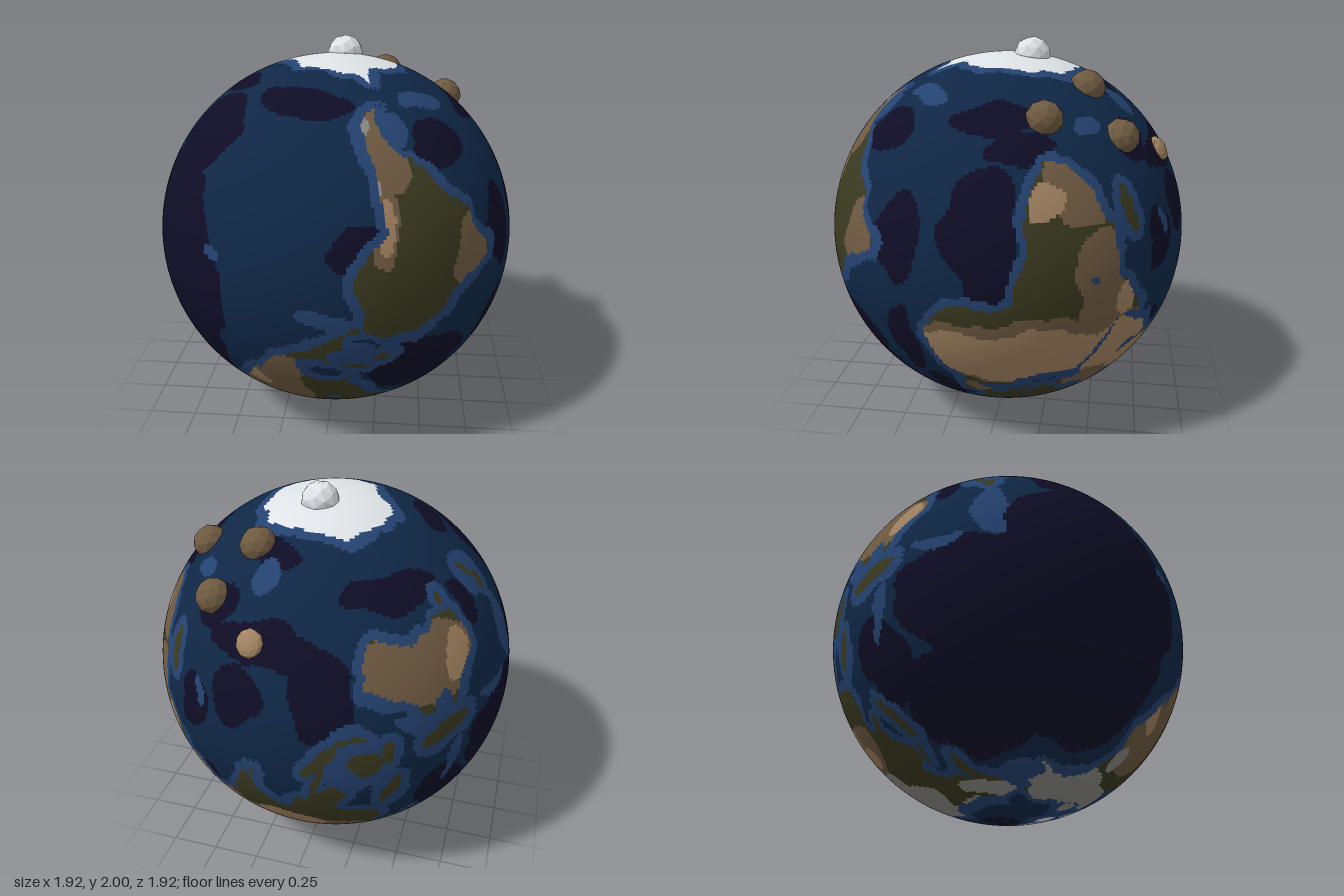
import * as THREE from 'three';

const R = 0.96, COLS = 380, ROWS = 186, RAD = Math.PI / 180;
const paint = (name, color) => Object.assign(new THREE.MeshStandardMaterial({ color }), { name });
const materials = [
  paint('deepOcean', 0x0f0d26), paint('ocean', 0x0f2746), paint('shallowSea', 0x244270),
  paint('forest', 0x3a3920), paint('steppe', 0x6f5a41), paint('desert', 0xa18260),
  paint('bareRock', 0x8a8984), paint('ice', 0xe2e6ea),
];
const [DEEP, OCEAN, SHALLOW, FOREST, STEPPE, DESERT, BARE, ICE] = materials.keys();

// Coast outlines as longitude, latitude pairs
const coasts = {
  northAmerica: [-168, 66, -156, 71, -128, 70, -110, 68, -95, 69, -82, 68, -94, 60, -92, 57, -82, 55, -80, 51, -78, 56, -77, 62,
    -70, 61, -65, 58, -56, 52, -66, 49, -61, 46, -70, 43, -74, 40, -76, 35, -81, 31, -80, 25, -83, 30, -90, 30, -97, 27, -97, 20,
    -91, 18.5, -87, 21, -88, 16, -83, 15, -83, 10, -78, 9, -80, 7.5, -86, 11, -94, 16, -105, 20, -113, 31, -110, 23.5, -117, 33,
    -124, 40, -124, 48, -134, 57, -145, 60, -152, 59, -162, 55, -157, 59, -166, 62, -161, 65],
  greenland: [-45, 60, -53, 66, -55, 70, -70, 77, -60, 82, -30, 83.5, -18, 78, -22, 70, -38, 65],
  southAmerica: [-78, 8, -72, 12, -62, 10.5, -52, 5, -50, 0, -44, -2.5, -35, -6, -35, -9, -39, -14, -41, -22, -48, -26, -53, -33,
    -58, -38, -62, -39, -65, -42, -67, -46, -69, -51, -66, -55, -72, -54, -75, -50, -73, -40, -71.5, -30, -70, -18, -76, -14,
    -81, -6, -80, -2, -77, 3],
  africa: [-6, 36, 10, 37, 11, 33.5, 20, 31, 32, 31, 33, 28, 37, 21, 43, 12, 51, 12, 47, 4, 41, -2, 40, -10, 40, -16, 35, -20,
    35, -25, 32, -29, 27, -33.5, 19, -34.5, 15, -26, 12, -17, 13.5, -9, 9, -1, 9, 4, 4, 6, -7, 4.5, -13, 8.5, -17, 14.5,
    -16, 21, -13, 27.5, -9.5, 31],
  europe: [-9, 37, -9, 43, -2, 43.5, -1, 46, -4.5, 48.5, 2, 51, 8, 54, 8.5, 57, 12, 54, 20, 54.5, 24, 59, 29, 60, 22, 60, 25, 65,
    22, 65.5, 17, 61, 17, 58, 14, 55.5, 11, 59, 6, 58, 5, 62, 14, 68, 25, 71, 40, 67.5, 37, 64, 46, 68, 62, 69, 62, 45, 38, 46,
    31, 46.5, 28, 43, 28, 41, 23.5, 40.5, 23, 37, 19.5, 41, 13.5, 45.5, 12.5, 44, 18.5, 40, 16, 38, 11, 42.5, 9, 44.3, 3, 43,
    0, 39.5, -2, 36.8, -5.5, 36],
  northAsia: [60, 40, 60, 69, 68, 69, 72, 73, 82, 73, 104, 77.5, 113, 73.5, 130, 71.5, 140, 72.5, 160, 70, 180, 69, 190, 66, 179, 62.5,
    170, 60, 163, 57.5, 157, 51, 156, 57, 163, 62, 155, 59.5, 142, 59, 135, 54.5, 141, 52, 140, 48, 132, 43, 128, 39.5, 129, 35.5,
    126.5, 35, 125, 39, 118, 39, 110, 36],
  southAsia: [118, 40, 122, 37, 120, 34, 122, 30, 120, 25, 114, 22, 108, 21.5, 106, 18.5, 109, 13, 105, 9, 100.5, 13, 103.5, 1.5,
    101, 3, 98.5, 9, 97.5, 17, 94, 16, 91, 22.5, 87, 21.5, 80, 15, 80, 11, 77.5, 8, 73, 17, 72.5, 21, 67, 24.5, 57, 26, 51, 28,
    48, 30, 51, 24.5, 54, 24, 56.5, 26, 59.5, 22.5, 55, 17.5, 45, 13, 43, 13, 39, 21, 35, 28, 34.5, 31, 36, 36.5, 27, 37,
    26.5, 40, 31, 41.2, 41, 41.5, 40, 46, 61, 46],
  australia: [114, -22, 122, -18, 129, -15, 131, -11.5, 136, -12, 135.5, -15, 140, -17.5, 142.5, -11, 146, -19, 153, -25, 153, -31,
    150, -37.5, 146, -39, 140, -38, 138, -34, 135, -34.5, 131, -31.5, 124, -33, 118, -35, 115, -34],
};
// South polar cap outline as x, z pairs
const polarCap = [-0.2, 0.05, -0.15, 0.2, 0.03, 0.28, 0.13, 0.29, 0.18, 0.36, 0.18, 0.19, 0.26, 0.15, 0.32, 0.05, 0.33, -0.15, 0.24, -0.31,
  0, -0.39, -0.17, -0.38, -0.28, -0.23, -0.32, -0.08];

// Ovals: longitude, latitude, half width, half height, turn in degrees
const islands = [[46.5, -19, 2.3, 7, -15], [114, 1, 5, 4.5], [101, 0, 2, 8, 42], [110, -7.3, 5, 1], [120.5, -2, 2, 4], [139, -5, 9, 2.8, -20],
  [122, 13, 2, 6.5, 20], [138, 37, 1.7, 8, -45], [143, 43, 2, 1.5], [175, -39, 2, 3.5], [170, -44, 1.5, 4, -40], [-2, 54, 2.2, 4.5], [-8, 53, 1.6, 1.7],
  [-19, 65, 4, 1.6], [-79, 22, 4.5, 1], [-71, 19, 2.5, 1], [18, 78.5, 7, 1.5], [58, 74, 3, 4, -25], [-72, 69, 9, 4, -20], [-110, 71, 9, 2.5],
  [-82, 79, 12, 3], [147, -42, 1.6, 1.5], [81, 7.5, 0.9, 1.4], [143, 50, 0.9, 4], [9, 41, 0.8, 2]];
const lakes = [[34, 43.5, 5.5, 1.9], [51, 42, 2.2, 4.5, 15], [-86, 44.5, 3, 2], [33, -1, 1.3, 1.3]];
const deeps = [[-152, 8, 32, 44], [172, 36, 26, 18], [168, 6, 18, 16], [142, 22, 10, 13], [-148, -42, 22, 13], [-103, -58, 28, 6], [-79, -15, 9, 7],
  [-43, -41, 14, 8], [-25, -13, 9, 13], [1, -14, 10, 20], [12, -38, 12, 5], [2, -48, 20, 6], [-57, 25, 18, 13], [-45, 41, 8, 8], [-26, 22, 6, 14],
  [-18, 43, 6, 8], [101, -20, 11, 14], [76, -15, 9, 10], [58, -10, 6, 10], [84, -31, 20, 6], [60, -38, 9, 6], [130, -46, 24, 5], [70, -58, 18, 5],
  [158, -37, 5, 6], [-165, -60, 20, 5], [60, 17, 4, 5], [0, 86, 180, 3]];
const shelves = [[178, -20, 5, 12], [171, -43, 9, 8], [74, -50, 7, 6], [-38, -55, 14, 3], [111, 3, 12, 9], [-20, 65, 15, 4], [-62, -49, 6, 5],
  [135, -9, 11, 4], [25, 73, 30, 5], [140, 74, 45, 4], [60, -14, 2, 5], [-87, 4, 6, 3], [160, -10, 9, 3], [-83, 17, 8, 4], [145, 8, 2, 9, 15],
  [-172, 62, 14, 6], [40, -45, 8, 3], [3, 57, 6, 4], [-122, -8, 3, 2]];
// Ground cover, later entries on top
const cover = [
  [STEPPE, [[-110, 40, 14, 14], [-103, 25, 8, 7], [-42, -11, 8, 10], [-67, -42, 7, 14], [36, 2, 8, 18], [30, -27, 11, 11], [15, 23, 42, 12.5],
    [50, 33, 24, 15], [85, 41, 36, 11], [134, -25, 23, 12], [-4, 39, 5, 3], [45, 24, 18, 14], [-70, -22, 5, 14]]],
  [DESERT, [[12, 24, 40, 9.5], [47, 24, 15, 11], [60, 33, 12, 7], [88, 35, 14, 7], [103, 43, 9, 4], [19, -23, 6, 6], [-69, -20, 3, 8], [-113, 33, 4, 4],
    [145, -25, 5, 8], [46, 6, 5, 6]]],
  [BARE, [[85, 65, 42, 10], [95, 55, 14, 5], [110, 74, 60, 4], [-140, 64, 28, 9], [-100, 68, 50, 8], [-74, -49, 3, 9], [16, 67, 8, 4], [-72, 60, 8, 3],
    [-71, -34, 1.6, 6], [170, 66, 20, 4], [-120, 49, 4, 6]]],
  [ICE, [[-42, 73, 32, 14], [-82, 79, 13, 4]]],
];

const wrap = (d) => d - 360 * Math.round(d / 360);
const inOval = (lon, lat) => ([x, y, w, h, turn = 0]) => {
  const dx = wrap(lon - x), dy = lat - y, c = Math.cos(turn * RAD), s = Math.sin(turn * RAD);
  return ((dx * c + dy * s) / w) ** 2 + ((dy * c - dx * s) / h) ** 2 < 1;
};
function inOutline(pts, x, y) {
  let inside = false;
  for (let i = 0, j = pts.length - 2; i < pts.length; j = i, i += 2) {
    if (pts[i + 1] > y !== pts[j + 1] > y
      && x < pts[i] + (pts[j] - pts[i]) * (y - pts[i + 1]) / (pts[j + 1] - pts[i + 1])) inside = !inside;
  }
  return inside;
}
// Smooth wobble that roughens borders
const wobble = (p, f, k) => Math.sin(f * p.x + 2 * Math.sin(f * 0.7 * p.y + k)) * 0.5
  + Math.sin(f * 1.3 * p.z + k * 2 + 2 * Math.sin(f * p.x)) * 0.5 + Math.sin(f * 2.3 * p.y + k + 2 * Math.sin(f * 1.7 * p.z)) * 0.35;

// Unit direction; the globe stands with its south pole on top
const direction = (lon, lat) => new THREE.Vector3(
  Math.cos(lat * RAD) * Math.cos(lon * RAD), -Math.sin(lat * RAD), -Math.cos(lat * RAD) * Math.sin(lon * RAD));

function isLand(lon, lat) {
  const p = direction(lon, lat);
  const dx = wobble(p, 22, 1) * 0.008, dz = wobble(p, 22, 3) * 0.008;
  if (lat < -60) return inOutline(polarCap, p.x * R + dx, p.z * R + dz);
  const x = lon + dx * 65, y = lat + dz * 65;
  if (lakes.some(inOval(x, y))) return false;
  return islands.some(inOval(x, y))
    || Object.values(coasts).some((c) => inOutline(c, x, y) || inOutline(c, x + 360, y));
}

function buildGlobe() {
  const positions = [], normals = [], land = [], faces = materials.map(() => []);
  const lonAt = (i) => -180 + 360 * i / COLS, latAt = (j) => -90 + 180 * j / ROWS;
  for (let j = 0; j <= ROWS; j++) {
    for (let i = 0; i <= COLS; i++) {
      const n = direction(lonAt(i), latAt(j));
      normals.push(n.x, n.y, n.z);
      positions.push(n.x * R, n.y * R, n.z * R);
      if (i < COLS && j < ROWS) land.push(isLand(lonAt(i + 0.5), latAt(j + 0.5)));
    }
  }
  const landAt = (i, j) => land[THREE.MathUtils.clamp(j, 0, ROWS - 1) * COLS + (i + COLS * 2) % COLS];
  const nearLand = (i, j, lat, reach) => {
    const stretch = 1 / Math.max(Math.cos(lat * RAD), 0.08);
    for (let a = 0; a < 16; a++) {
      for (const r of [reach, reach * 0.5]) {
        const di = Math.round(Math.cos(a * Math.PI / 8) * r * stretch), dj = Math.round(Math.sin(a * Math.PI / 8) * r);
        if (landAt(i + di, j + dj)) return true;
      }
    }
    return false;
  };
  const colourOf = (i, j) => {
    const lon = lonAt(i + 0.5), lat = latAt(j + 0.5), p = direction(lon, lat);
    const hit = inOval(lon + wobble(p, 9, 2) * 2.6, lat + wobble(p, 9, 5) * 2.2);
    if (landAt(i, j)) {
      if (lat < -60) return ICE;
      return cover.reduce((c, [kind, ovals]) => (ovals.some(hit) ? kind : c), FOREST);
    }
    if (nearLand(i, j, lat, 3 + wobble(p, 12, 4) * 1.3) || shelves.some(hit)) return SHALLOW;
    return deeps.some(hit) ? DEEP : OCEAN;
  };
  for (let j = 0; j < ROWS; j++) {
    for (let i = 0; i < COLS; i++) {
      const a = j * (COLS + 1) + i, up = a + COLS + 1;
      faces[colourOf(i, j)].push(a, up, a + 1, a + 1, up, up + 1);
    }
  }
  // One geometry group per colour
  const geometry = new THREE.BufferGeometry();
  geometry.setAttribute('position', new THREE.Float32BufferAttribute(positions, 3));
  geometry.setAttribute('normal', new THREE.Float32BufferAttribute(normals, 3));
  geometry.setIndex(faces.flat());
  let start = 0;
  faces.forEach((f, k) => { geometry.addGroup(start, f.length, k); start += f.length; });
  const globe = new THREE.Mesh(geometry, materials);
  globe.name = 'globe';
  return globe;
}

// Faceted boulder half sunk into the surface, flattened along its radius
function boulder(name, x, z, radius, depth, material) {
  const geometry = new THREE.IcosahedronGeometry(radius, 1);
  geometry.scale(1, depth, 1);
  geometry.computeVertexNormals();
  const mesh = new THREE.Mesh(geometry, materials[material]);
  const n = new THREE.Vector3(x, Math.sqrt(R * R - x * x - z * z), z);
  mesh.position.copy(n);
  mesh.quaternion.setFromUnitVectors(new THREE.Vector3(0, 1, 0), n.clone().normalize());
  mesh.name = name;
  return mesh;
}

export function createModel() {
  const model = new THREE.Group(), body = new THREE.Group();
  body.name = 'planet';
  body.position.y = R;
  body.add(buildGlobe(), boulder('polarIceDome', 0.04, -0.135, 0.095, 0.97, ICE));
  [[0.255, -0.435], [0.425, -0.61], [0.59, -0.255]].forEach(([x, z], i) => body.add(boulder(`boulder${i + 1}`, x, z, 0.09, 0.9, STEPPE)));
  body.add(boulder('sandMound', 0.175, -0.8, 0.07, 0.5, DESERT));
  model.add(body);
  return model;
}
